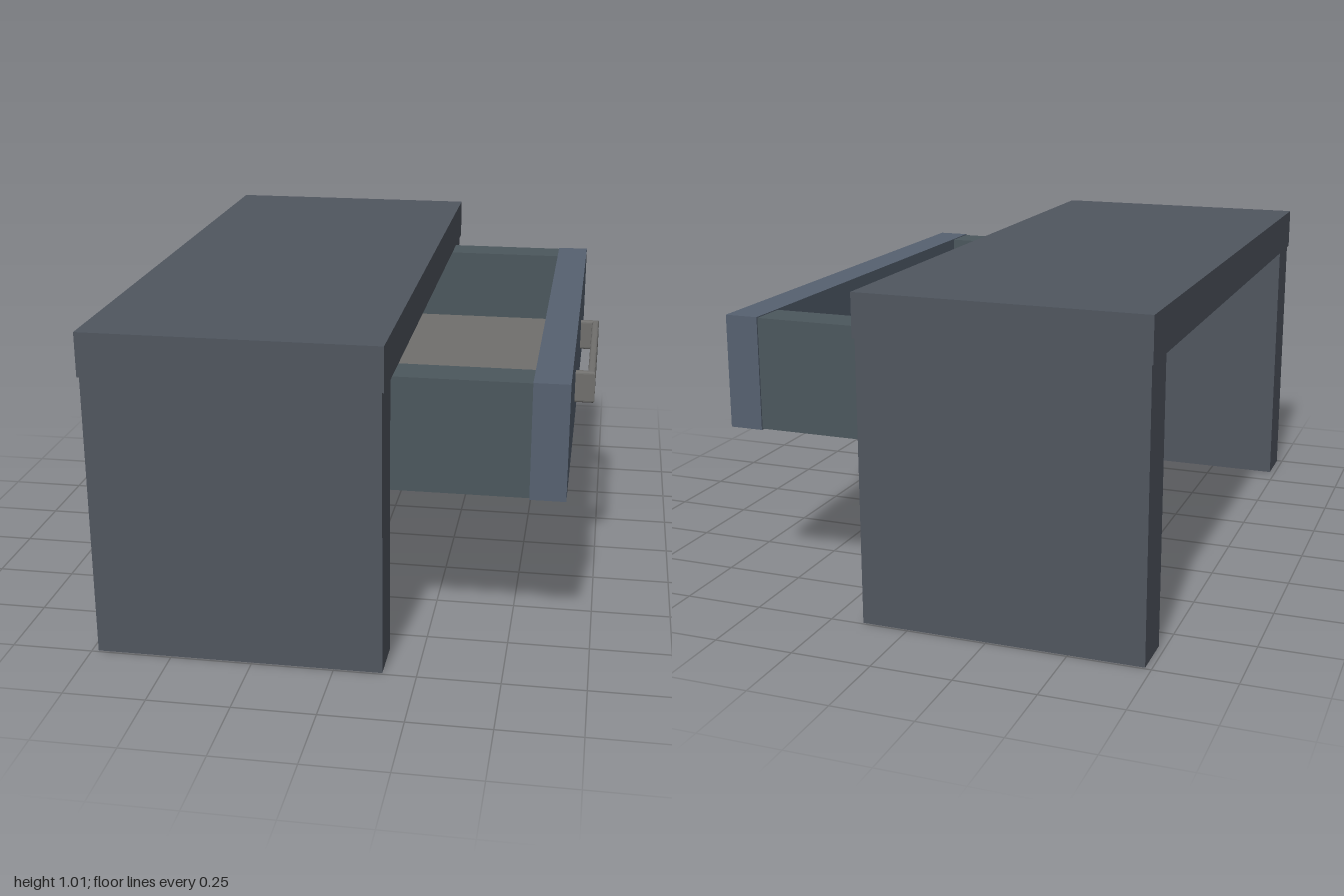
import * as THREE from 'three';

const material = (color) => new THREE.MeshStandardMaterial({ color });

export function createModel() {
  const model = new THREE.Group();
  const deskMat = material(0x50565f);
  const drawerMat = material(0x4c575d);
  const frontMat = material(0x566170);
  const greyMat = material(0x706f6d);

  // Box given by its min and max on each axis
  const box = (parent, name, mat, [x0, x1], [y0, y1], [z0, z1]) => {
    const mesh = new THREE.Mesh(new THREE.BoxGeometry(x1 - x0, y1 - y0, z1 - z0), mat);
    mesh.position.set((x0 + x1) / 2, (y0 + y1) / 2, (z0 + z1) / 2);
    mesh.name = name;
    parent.add(mesh);
  };

  // Desk: slab top on two full-depth panel legs
  const desk = new THREE.Group();
  desk.name = 'desk';
  box(desk, 'deskTop', deskMat, [-0.735, 0.153], [0.88, 1.015], [-1, 1]);
  box(desk, 'leftLeg', deskMat, [-0.73, 0.147], [0, 0.88], [-0.993, -0.845]);
  box(desk, 'rightLeg', deskMat, [-0.73, 0.147], [0, 0.88], [0.845, 0.993]);

  // Drawer, pulled open: frame walls, raised floor and face panel
  const drawer = new THREE.Group();
  drawer.name = 'drawer';
  const wallY = [0.523, 0.875];
  box(drawer, 'drawerSideBack', drawerMat, [-0.19, 0.555], wallY, [-0.835, -0.71]);
  box(drawer, 'drawerSideFront', drawerMat, [-0.19, 0.555], wallY, [0.71, 0.835]);
  box(drawer, 'drawerRear', drawerMat, [-0.19, -0.065], wallY, [-0.71, 0.71]);
  box(drawer, 'drawerFloor', greyMat, [-0.065, 0.555], [0.545, 0.625], [-0.71, 0.71]);
  box(drawer, 'drawerFace', frontMat, [0.555, 0.662], [0.52, 0.878], [-0.84, 0.84]);

  // Handle: flat bracket profile, extruded upwards with softened edges
  const bevel = 0.008;
  const outline = [
    [0.655, 0.297], [0.717, 0.297], [0.717, -0.297], [0.655, -0.297],
    [0.655, -0.289], [0.709, -0.289], [0.709, 0.289], [0.655, 0.289],
  ].map(([x, z]) => new THREE.Vector2(x, z));
  const handleGeo = new THREE.ExtrudeGeometry(new THREE.Shape(outline), {
    depth: 0.105 - 2 * bevel,
    bevelEnabled: true,
    bevelThickness: bevel,
    bevelSize: bevel,
    bevelSegments: 3,
  });
  handleGeo.rotateX(-Math.PI / 2);
  const handle = new THREE.Mesh(handleGeo, greyMat);
  handle.name = 'handle';
  handle.position.y = 0.64 + bevel;
  drawer.add(handle);

  model.add(desk, drawer);
  return model;
}
